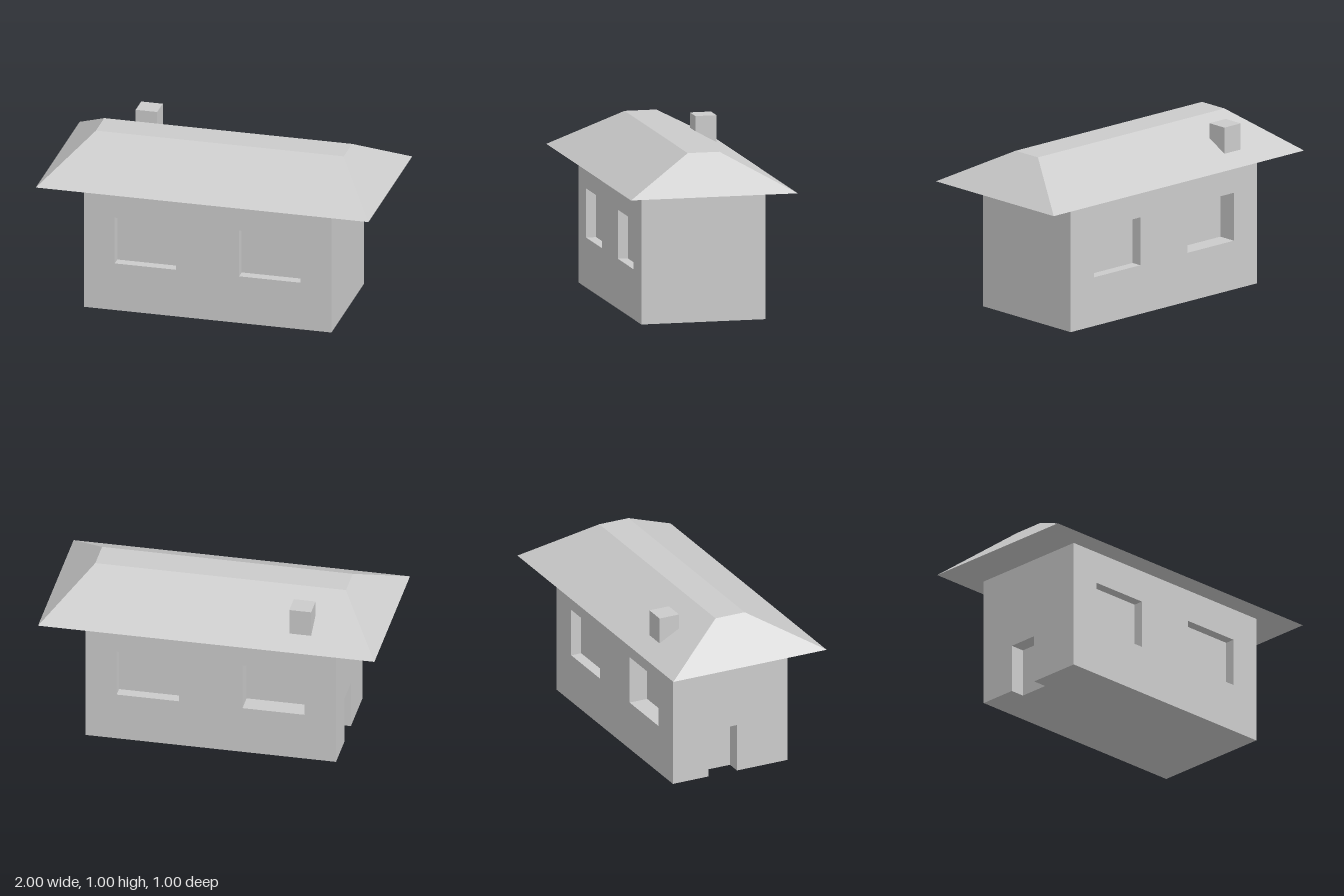
import * as THREE from 'three';

const material = new THREE.MeshStandardMaterial({ color: 0xcccccc, flatShading: true });
const HX = 0.745, HZ = 0.373, EAVES = 0.78, TOP = 1;
const DOOR = { x0: -0.14, x1: 0.045, y0: 0, y1: 0.29, depth: 0.09 };

function mesh(name, geometry) {
  const m = new THREE.Mesh(geometry, material);
  m.name = name;
  return m;
}

const polygon = (pts) => new THREE.Shape(pts.map(([x, y]) => new THREE.Vector2(x, y)));

// Inward-facing box, open at the front (and at the bottom for a doorway)
function recess(name, { x0, x1, y0, y1, depth }, openBottom) {
  const g = new THREE.BoxGeometry(x1 - x0, y1 - y0, depth);
  g.translate((x0 + x1) / 2, (y0 + y1) / 2, -depth / 2);
  const index = [...g.index.array];
  index.splice(24, 6);
  if (openBottom) index.splice(18, 6);
  g.setIndex(index.reverse());
  g.clearGroups();
  g.computeVertexNormals();
  return mesh(name, g);
}

// Wall facing local +z with two recessed windows
function windowWall(name, depths) {
  const wall = new THREE.Group();
  wall.name = name;
  const shape = polygon([[-HX, 0], [HX, 0], [HX, EAVES], [-HX, EAVES]]);
  [-1, 1].forEach((side, i) => {
    const c = side * 0.374, x0 = c - 0.185, x1 = c + 0.185, y0 = 0.295, y1 = 0.585;
    shape.holes.push(polygon([[x0, y0], [x0, y1], [x1, y1], [x1, y0]]));
    wall.add(recess('windowRecess', { x0, x1, y0, y1, depth: depths[i] }, false));
  });
  wall.add(mesh('wallFace', new THREE.ShapeGeometry(shape)));
  return wall;
}

// End wall, optionally with a doorway cut up from the ground
function endWall(name, door) {
  const wall = new THREE.Group();
  wall.name = name;
  const notch = door
    ? [[door.x0, 0], [door.x0, door.y1], [door.x1, door.y1], [door.x1, 0]] : [];
  const shape = polygon([[-HZ, 0], ...notch, [HZ, 0], [HZ, EAVES], [-HZ, EAVES]]);
  wall.add(mesh('wallFace', new THREE.ShapeGeometry(shape)));
  if (door) wall.add(recess('doorRecess', door, true));
  return wall;
}

export function createModel() {
  const house = new THREE.Group();
  house.name = 'house';

  // Long walls
  const front = windowWall('frontWall', [0.06, 0.06]);
  front.position.z = HZ;
  const back = windowWall('backWall', [0.065, 0.115]);
  back.position.z = -HZ;
  back.rotation.y = Math.PI;

  // End walls
  const plainEnd = endWall('leftWall');
  plainEnd.position.x = HX;
  plainEnd.rotation.y = Math.PI / 2;
  const doorEnd = endWall('doorWall', DOOR);
  doorEnd.position.x = -HX;
  doorEnd.rotation.y = -Math.PI / 2;

  // Underside, notched at the doorway
  const inner = -HX + DOOR.depth;
  const floor = mesh('floor', new THREE.ShapeGeometry(polygon([
    [-HX, -HZ], [HX, -HZ], [HX, HZ], [-HX, HZ],
    [-HX, DOOR.x1], [inner, DOOR.x1], [inner, DOOR.x0], [-HX, DOOR.x0],
  ])).rotateX(Math.PI / 2));

  // Hipped roof with a flat top: a box whose upper corners are drawn in
  const roofGeometry = new THREE.BoxGeometry(2, TOP - EAVES, 1);
  const p = roofGeometry.attributes.position;
  for (let i = 0; i < p.count; i++) {
    if (p.getY(i) > 0) p.setXYZ(i, p.getX(i) * 0.745, p.getY(i), p.getZ(i) * 0.19);
  }
  roofGeometry.computeVertexNormals();
  const roof = mesh('roof', roofGeometry);
  roof.position.y = (EAVES + TOP) / 2;

  // Chimney on the rear slope
  const chimney = mesh('chimney', new THREE.BoxGeometry(0.13, 0.18, 0.127));
  chimney.position.set(-0.535, TOP - 0.09, -0.323);

  house.add(front, back, plainEnd, doorEnd, floor, roof, chimney);
  return house;
}
